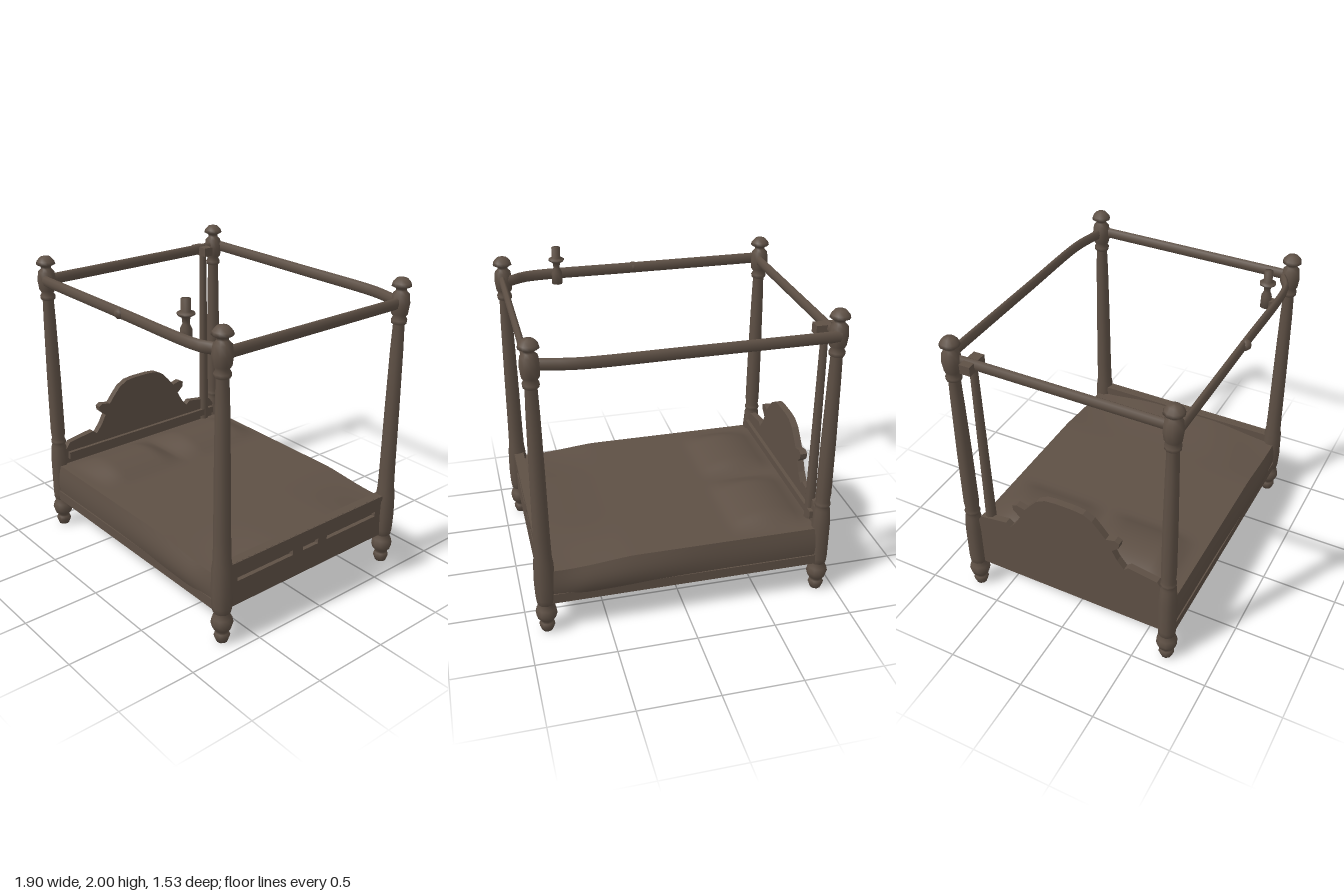
import * as THREE from 'three';

const v2 = (list) => list.map(([x, y]) => new THREE.Vector2(x, y));
const smooth = THREE.MathUtils.smoothstep;

export function createModel() {
  const model = new THREE.Group();
  const wood = new THREE.MeshStandardMaterial({ color: 0x5e5045 });
  wood.name = 'dark brown wood';

  const add = (name, geometry, x = 0, y = 0, z = 0, parent = model) => {
    const mesh = new THREE.Mesh(geometry, wood);
    mesh.name = name;
    mesh.position.set(x, y, z);
    parent.add(mesh);
    return mesh;
  };

  // Turned posts: shared foot and finial, different shafts at head and foot
  const foot = [[0, 0], [0.035, 0.005], [0.05, 0.045], [0.042, 0.065], [0.035, 0.075],
    [0.058, 0.1], [0.068, 0.135], [0.06, 0.17], [0.042, 0.2], [0.055, 0.21]];
  const finial = [[0.036, 1.66], [0.048, 1.67], [0.05, 1.69], [0.038, 1.71], [0.052, 1.73],
    [0.06, 1.79], [0.052, 1.85], [0.032, 1.87], [0.034, 1.885], [0.062, 1.9], [0.056, 1.92],
    [0.034, 1.945], [0, 1.952]];
  const headShaft = [[0.058, 0.25], [0.058, 0.5], [0.05, 0.61], [0.044, 0.625], [0.05, 0.64],
    [0.05, 0.655], [0.043, 0.67], [0.048, 0.72], [0.046, 1.1], [0.04, 1.5]];
  const footShaft = [[0.062, 0.25], [0.066, 0.35], [0.062, 0.5], [0.054, 0.56],
    [0.051, 0.7], [0.047, 1.1], [0.041, 1.5]];
  for (const side of [1, -1]) {
    add('headPost', new THREE.LatheGeometry(v2([...foot, ...headShaft, ...finial]), 10), -0.89, 0, side * 0.69);
    add('footPost', new THREE.LatheGeometry(v2([...foot, ...footShaft, ...finial]), 10), 0.88, 0, side * 0.69);
  }

  // Canopy rails: flattened tubes along simple paths
  const rail = (name, points) => {
    const curve = new THREE.CatmullRomCurve3(points.map(([x, z]) => new THREE.Vector3(x, 0, z)), false, 'centripetal');
    const geometry = new THREE.TubeGeometry(curve, 32, 0.021, 8);
    geometry.scale(1, 1.75, 1);
    add(name, geometry, 0, 1.798, 0);
  };
  rail('frontRail', [[-0.89, 0.72], [0, 0.72], [0.66, 0.72], [0.76, 0.7], [0.82, 0.66], [0.88, 0.66]]);
  rail('backRail', [[-0.89, -0.73], [0, -0.735], [0.62, -0.735], [0.76, -0.71], [0.88, -0.68]]);
  rail('headRail', [[-0.875, -0.69], [-0.875, 0.69]]);
  rail('footRail', [[0.89, -0.69], [0.89, 0.69]]);
  const knob = new THREE.SphereGeometry(0.035, 8, 6);
  add('railKnob', knob, 0, 1.8, 0.73);

  // Candle holder on the front rail
  const candle = new THREE.Group();
  candle.name = 'candleHolder';
  candle.position.set(0.53, 0, 0.655);
  model.add(candle);
  add('candle', new THREE.LatheGeometry(v2([[0, 1.75], [0.036, 1.755], [0.034, 1.83], [0.02, 1.86],
    [0.024, 1.895], [0.05, 1.91], [0.052, 1.922], [0.028, 1.93], [0.028, 2], [0, 2]]), 8), 0, 0, 0, candle);
  add('candleArm', new THREE.BoxGeometry(0.05, 0.045, 0.07), 0, 1.785, 0.03, candle);

  // Side pole with its bracket beside the back head post
  add('sidePole', new THREE.CylinderGeometry(0.024, 0.036, 1.45, 8), -0.858, 1.055, -0.57);
  add('poleBracket', new THREE.BoxGeometry(0.15, 0.06, 0.07), -0.865, 1.79, -0.57);

  // Mattress with draped cover: a box with pillows, sagging corners and bulging sides
  const height = (x, z) => {
    const sag = 0.05 * smooth(x, 0.3, 0.8) * smooth(Math.abs(z), 0.2, 0.72);
    let h = 0.478 + 0.018 * smooth(x, 0.4, 0.85) - sag;
    for (const [z0, z1] of [[-0.68, -0.01], [0.01, 0.64]]) {
      const u = (x + 0.82) / 0.48;
      const w = (z - z0) / (z1 - z0);
      if (u > 0 && u < 1 && w > 0 && w < 1) {
        h += 0.06 * Math.sin(Math.PI * u) ** 0.8 * Math.min(1, 1.6 * Math.sin(Math.PI * w));
      }
    }
    return h;
  };
  const cover = new THREE.BoxGeometry(1.7, 1, 1.43, 44, 8, 44);
  const p = cover.attributes.position;
  for (let i = 0; i < p.count; i++) {
    const x = p.getX(i), t = p.getY(i) + 0.5, z = p.getZ(i);
    const bulge = 1 + Math.sin(Math.PI * t) * (0.02 + 0.025 * smooth(x, -0.3, 0.5) * (1 - smooth(x, 0.6, 0.85)));
    p.setXYZ(i, x, 0.225 + t * (height(x, z) - 0.225), z * bulge);
  }
  cover.computeVertexNormals();
  add('mattress', cover);

  // Base frame rails along both sides
  for (const side of [1, -1]) {
    add('sideBoard', new THREE.BoxGeometry(1.72, 0.065, 0.03), -0.005, 0.252, side * 0.718);
  }

  // Boards are outlined across the bed and extruded along its length
  const board = (name, outline, holes, depth, x) => {
    const shape = new THREE.Shape(v2(outline));
    for (const [a, b] of holes) {
      shape.holes.push(new THREE.Path(v2([[a, 0.378], [a, 0.412], [b, 0.412], [b, 0.378]])));
    }
    const geometry = new THREE.ExtrudeGeometry(shape, { depth, bevelEnabled: false });
    geometry.rotateY(Math.PI / 2);
    add(name, geometry, x, 0, 0);
  };

  // Footboard with three slots
  board('footboard', [[-0.66, 0.22], [0.66, 0.22], [0.66, 0.51], [-0.66, 0.51]],
    [[-0.59, -0.15], [-0.065, 0.065], [0.14, 0.58]], 0.03, 0.868);
  add('footboardBacking', new THREE.BoxGeometry(0.03, 0.28, 1.3), 0.855, 0.365, 0);
  add('footboardCap', new THREE.BoxGeometry(0.065, 0.035, 1.3), 0.872, 0.492, 0);

  // Headboard with a scrolled crest
  const half = [[0.66, 0.22], [0.66, 0.57], [0.62, 0.625], [0.43, 0.655], [0.4, 0.63], [0.355, 0.685],
    [0.32, 0.75], [0.365, 0.79], [0.37, 0.825], [0.34, 0.84], [0.28, 0.825], [0.235, 0.88],
    [0.19, 0.93], [0.13, 0.962], [0.06, 0.97]];
  const mirrored = half.map(([x, y]) => [-x, y]).reverse();
  board('headboard', [...half, ...mirrored], [], 0.045, -0.9);
  add('headboardLedge', new THREE.BoxGeometry(0.03, 0.05, 1.28), -0.845, 0.535, 0);

  return model;
}
